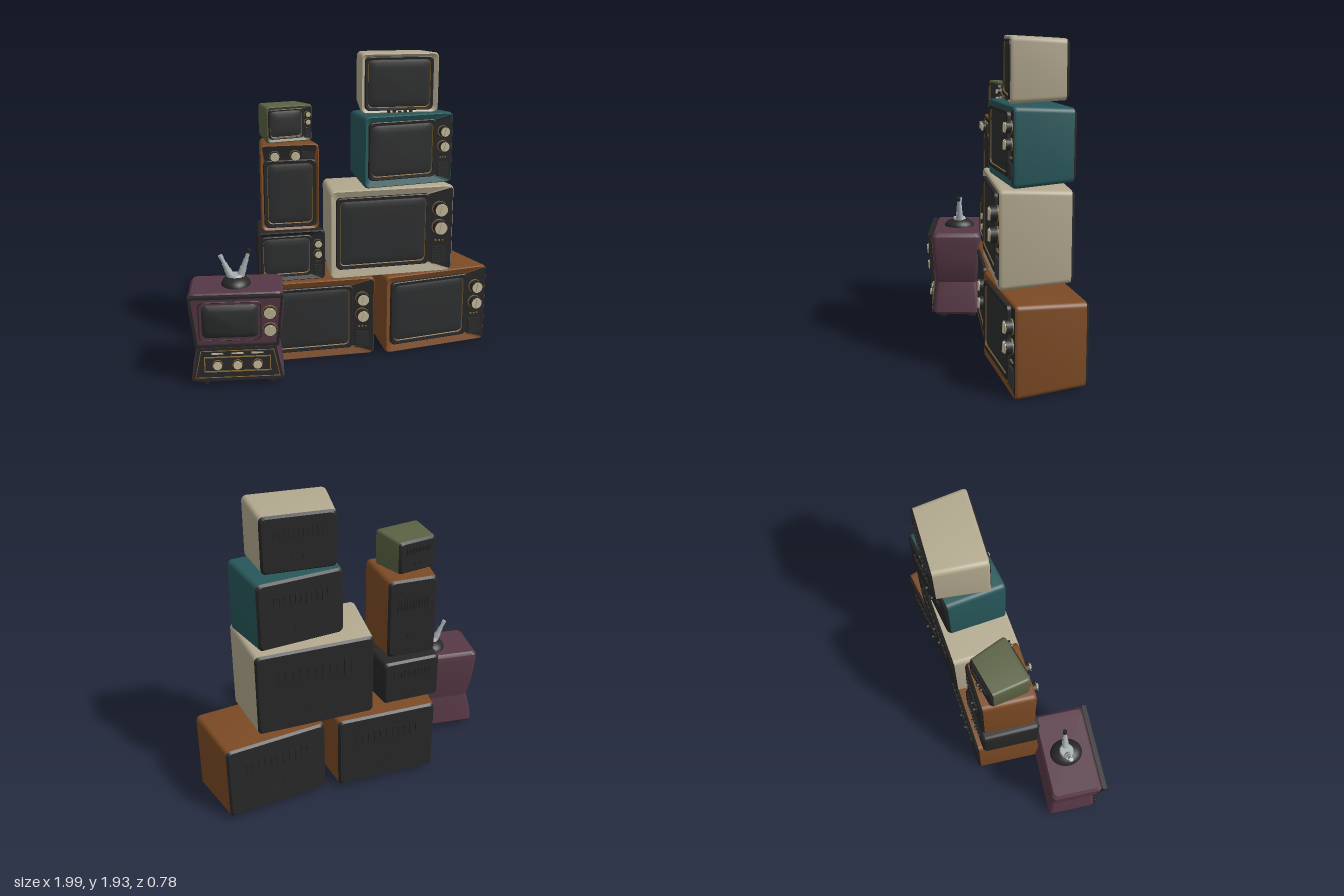
import * as THREE from 'three';
import { toCreasedNormals } from 'three/addons/utils/BufferGeometryUtils.js';

const mat = (name, color) => new THREE.MeshStandardMaterial({ name, color });
const M = {
  brown: mat('walnut brown', 0x7c4a24), beige: mat('warm beige', 0xb3a98f),
  teal: mat('deep teal', 0x27575a), olive: mat('olive green', 0x5b6243),
  plum: mat('plum', 0x573846), black: mat('black plastic', 0x272727),
  glass: mat('screen glass', 0x2d2e2f), gold: mat('aged gold', 0x8a6a36),
  metal: mat('antenna metal', 0xa9b1b4), ivory: mat('ivory knob', 0xc2b698),
};

function add(parent, name, geometry, material, x = 0, y = 0, z = 0) {
  const m = new THREE.Mesh(geometry, material);
  m.name = name;
  m.position.set(x, y, z);
  parent.add(m);
  return m;
}
const box = (p, name, w, h, d, m, x, y, z) => add(p, name, new THREE.BoxGeometry(w, h, d), m, x, y, z);

// Rounded rectangle of 28 points, counterclockwise, starting at the lower right corner
const STEPS = 6, RING = 4 * (STEPS + 1);
function ring([w, h, r, z]) {
  const pts = [], corners = [[1, -1], [1, 1], [-1, 1], [-1, -1]];
  corners.forEach(([sx, sy], c) => {
    for (let k = 0; k <= STEPS; k++) {
      const a = (c - 1 + k / STEPS) * Math.PI / 2;
      pts.push([sx * (w / 2 - r) + r * Math.cos(a), sy * (h / 2 - r) + r * Math.sin(a), z]);
    }
  });
  return pts;
}

// Skin through sections [width, height, radius, z]; from/to pick part of the ring
function loft(sections, { front = false, back = false, from = 0, to = RING } = {}) {
  const rings = sections.map(ring), v = [];
  for (let s = 0; s + 1 < rings.length; s++) {
    for (let i = from; i < to; i++) {
      const a = rings[s], b = rings[s + 1], p = i % RING, q = (i + 1) % RING;
      v.push(...a[p], ...a[q], ...b[q], ...a[p], ...b[q], ...b[p]);
    }
  }
  const cap = (r, flip) => {
    for (let i = 1; i + 1 < RING; i++) v.push(...r[0], ...r[flip ? i + 1 : i], ...r[flip ? i : i + 1]);
  };
  if (back) cap(rings[0], true);
  if (front) cap(rings[rings.length - 1], false);
  const g = new THREE.BufferGeometry();
  g.setAttribute('position', new THREE.Float32BufferAttribute(v, 3));
  return toCreasedNormals(g, 0.6);
}

// Knob facing +z: gold collar, black barrel, ivory face and grip bar
function knob(parent, x, y, z, r, length) {
  const g = new THREE.Group();
  g.name = 'knob';
  g.position.set(x, y, z);
  const disc = (name, rad, len, m, zz) =>
    add(g, name, new THREE.CylinderGeometry(rad, rad, len, 20).rotateX(Math.PI / 2), m, 0, 0, zz);
  disc('knobCollar', r * 1.08, 0.01, M.gold, 0.012);
  disc('knobBarrel', r, length, M.black, length / 2);
  disc('knobFace', r * 0.9, 0.006, M.ivory, length + 0.001);
  box(g, 'knobGrip', r * 0.35, r * 1.5, 0.012, M.ivory, 0, 0, length + 0.006).rotation.z = -0.25;
  parent.add(g);
}

// Screen with black surround, gold trim and softly bulging glass
function screen(parent, x, y, w, h, t, bulge) {
  const g = new THREE.Group();
  g.name = 'screen';
  g.position.set(x, y, 0);
  const s = (d, z, r = 0.03) => [w - d, h - d, Math.min(r, h * 0.12), z];
  add(g, 'screenSurround', loft([s(0, -0.03), s(0, 0.005), s(0.008, 0.009), s(t, 0.007), s(t, -0.006)]), M.black);
  add(g, 'screenTrim', loft([s(t, 0.002), s(t + 0.008, -0.004)]), M.gold);
  add(g, 'screenGlass', loft([s(t + 0.008, -0.004), s(t + 0.04, bulge * 0.5), s(t + 0.1, bulge)], { front: true }), M.glass);
  parent.add(g);
}

function grille(parent, x, y, w, h) {
  box(parent, 'speakerPlate', w, h, 0.012, M.glass, x, y, -0.003);
  for (let i = 0; i < 7; i++) box(parent, 'speakerSlat', w, h * 0.07, 0.012, M.black, x, y + h * (i / 6 - 0.5) * 0.9, 0.003);
}

// Tapered television; origin at the bottom centre of its front
function television({ name, x, y, z, w, h, d, turn, color, panel }) {
  const tv = new THREE.Group();
  tv.name = name;
  tv.position.set(x, y, z);
  tv.rotation.y = turn;
  const c = new THREE.Group();
  c.name = 'cabinet';
  c.position.y = h / 2;
  tv.add(c);
  const r = Math.min(0.03, h * 0.08), bw = w - d * 0.17, bh = h - d * 0.1;
  add(c, 'shell', loft([[bw, bh, r, -d + 0.016], [w, h, r, -0.02], [w - 0.004, h - 0.004, r, -0.007], [w - 0.014, h - 0.014, r, 0]]), M[color]);
  add(c, 'backCover', loft([[bw - 0.025, bh - 0.025, r, -d], [bw, bh, r, -d + 0.016]], { back: true }), M.black);

  // Screen opening as fractions of the front: left, right, bottom, top
  const [l, rt, b, t] = { right: [0.048, 0.8, 0.108, 0.92], top: [0.055, 0.945, 0.045, 0.825], none: [0.05, 0.925, 0.055, 0.945] }[panel];
  const sw = (rt - l) * w, sh = (t - b) * h, sx = ((l + rt) / 2 - 0.5) * w, sy = ((b + t) / 2 - 0.5) * h;

  // Mitred bezel, one strip for each side
  [['right', 3], ['top', 10], ['left', 17], ['bottom', 24]].forEach(([side, from]) => {
    const g = loft([[w - 0.014, h - 0.014, r, 0], [sw - 0.01, sh - 0.01, 0.02, -0.015]], { from, to: from + 7 });
    const p = g.attributes.position;
    for (let i = 0; i < p.count; i++) if (p.getZ(i) < -0.01) p.setXY(i, p.getX(i) + sx, p.getY(i) + sy);
    g.computeVertexNormals();
    add(c, side + 'Bezel', g, side === panel ? M.black : M[color]);
  });
  screen(c, sx, sy, sw, sh, Math.min(0.045, h * 0.09), 0.003);

  // Controls
  if (panel === 'right') {
    for (const v of [0.74, 0.53]) knob(c, 0.385 * w, (v - 0.5) * h, -0.015, 0.056 * w, 0.02 + 0.045 * w);
    grille(c, 0.39 * w, -0.3 * h, 0.12 * w, 0.2 * h);
    for (const u of [0.36, 0.39, 0.42]) box(c, 'button', 0.012 * w, 0.012 * w, 0.02, M.gold, u * w, -0.13 * h, -0.008);
  } else if (panel === 'top') {
    for (const u of [-0.255, 0.09]) knob(c, u * w, 0.375 * h, -0.015, 0.03, 0.04);
    grille(c, 0.31 * w, 0.38 * h, 0.08, 0.04);
  } else {
    for (let i = 0; i < 5; i++) box(c, 'button', 0.02, 0.01, 0.02, M.black, (i - 2) * 0.035, -h / 2 + 0.012, 0);
  }

  // Rear vents and terminals
  for (let i = 0; i < 11; i++) {
    const vh = bh * (i % 3 === 1 ? 0.2 : 0.15);
    box(c, 'ventRib', bw * 0.022, vh, 0.02, M.black, (i / 10 - 0.5) * bw * 0.62, bh * 0.2, -d);
  }
  for (const s of [-1, 1]) {
    add(c, 'terminal', new THREE.CylinderGeometry(0.011, 0.011, 0.02, 12).rotateX(Math.PI / 2), M.black, s * bw * 0.07, -bh * 0.22, -d - 0.004);
  }
  return tv;
}

// Trapezoid plate, optionally with a hole inset by rim
function trapezoid(wb, wt, h, rim, depth) {
  const path = (P, k) => {
    const p = new P(), y = h / 2 - k;
    p.moveTo(-wb / 2 + k, -y);
    p.lineTo(wb / 2 - k, -y);
    p.lineTo(wt / 2 - k, y);
    p.lineTo(-wt / 2 + k, y);
    p.closePath();
    return p;
  };
  const s = path(THREE.Shape, 0);
  if (rim) s.holes.push(path(THREE.Path, rim));
  return new THREE.ExtrudeGeometry(s, { depth, bevelEnabled: false });
}

// Two-tier plum set with waist, rabbit-ear antenna and feet
function antennaSet() {
  const tv = new THREE.Group();
  tv.name = 'antennaTelevision';
  tv.position.set(-0.695, 0, 0.157);
  tv.rotation.y = -0.17;
  const upright = (s) => loft(s, { front: true, back: true }).rotateX(-Math.PI / 2);
  add(tv, 'upperCabinet', upright([[0.47, 0.28, 0.025, 0.245], [0.5, 0.29, 0.03, 0.27], [0.545, 0.315, 0.03, 0.4],
    [0.57, 0.33, 0.03, 0.53], [0.565, 0.33, 0.03, 0.575], [0.53, 0.3, 0.03, 0.597]]), M.plum);
  add(tv, 'base', upright([[0.54, 0.3, 0.03, 0.03], [0.56, 0.32, 0.03, 0.045], [0.53, 0.305, 0.03, 0.15], [0.48, 0.28, 0.03, 0.25]]), M.plum);
  for (const sx of [-1, 1]) for (const sz of [-1, 1]) {
    add(tv, 'foot', new THREE.CylinderGeometry(0.035, 0.028, 0.04, 16), M.black, sx * 0.2, 0.02, sz * 0.1);
  }

  // Upper face
  const face = new THREE.Group();
  face.name = 'upperFace';
  face.position.set(0, 0.425, 0.16);
  face.rotation.x = 0.06;
  tv.add(face);
  add(face, 'faceRim', trapezoid(0.5, 0.565, 0.33, 0.016, 0.02), M.black);
  add(face, 'facePlate', trapezoid(0.48, 0.54, 0.31, 0, 0.006), M.plum);
  screen(face, -0.038, 0, 0.375, 0.255, 0.014, 0.026);
  for (const y of [0.055, -0.058]) knob(face, 0.2, y, 0, 0.04, 0.028);
  box(face, 'topBar', 0.565, 0.016, 0.03, M.black, 0, 0.158, 0.008);

  // Control face of the base
  const ctl = new THREE.Group();
  ctl.name = 'controlFace';
  ctl.position.set(0, 0.145, 0.151);
  ctl.rotation.x = -0.1;
  tv.add(ctl);
  add(ctl, 'controlPlate', trapezoid(0.55, 0.47, 0.2, 0, 0.01), M.black);
  add(ctl, 'controlTrim', trapezoid(0.51, 0.44, 0.17, 0.004, 0.013), M.gold);
  add(ctl, 'dialFrame', trapezoid(0.4, 0.4, 0.095, 0.006, 0.018), M.gold);
  for (const x of [-0.12, 0, 0.12]) {
    knob(ctl, x, -0.003, 0.006, 0.029, 0.025);
    box(ctl, 'indicator', 0.07, 0.01, 0.008, M.ivory, x, 0.066, 0.01);
  }

  // Rabbit-ear antenna
  add(tv, 'antennaDome', new THREE.SphereGeometry(1, 24, 10, 0, Math.PI * 2, 0, Math.PI / 2).scale(0.09, 0.06, 0.105), M.black, 0, 0.592, -0.01);
  add(tv, 'antennaHub', new THREE.CylinderGeometry(0.04, 0.05, 0.02, 20), M.metal, 0, 0.648, -0.01);
  for (const [side, lean, len] of [[-1, 0.42, 0.14], [1, 0.33, 0.17]]) {
    const rod = new THREE.Group();
    rod.name = side < 0 ? 'rightAntenna' : 'leftAntenna';
    rod.position.set(side * 0.028, 0.64, -0.01);
    rod.rotation.z = -side * lean;
    tv.add(rod);
    [0.024, 0.018, 0.013].forEach((r, i) =>
      add(rod, 'antennaSection', new THREE.CylinderGeometry(r * 0.85, r, len * 0.4, 14), M.metal, 0, len * (0.18 + i * 0.29), 0));
    add(rod, 'antennaTip', new THREE.CylinderGeometry(0.014, 0.014, 0.025, 12), side > 0 ? M.black : M.metal, 0, len, 0);
  }
  return tv;
}

export function createModel() {
  const model = new THREE.Group();
  model.name = 'televisionStack';
  [
    { name: 'lowerLeftSet', x: 0.63, y: 0, z: 0.09, w: 0.72, h: 0.53, d: 0.43, turn: 0.085, color: 'brown', panel: 'right' },
    { name: 'lowerRightSet', x: -0.155, y: 0, z: 0.07, w: 0.72, h: 0.53, d: 0.43, turn: -0.06, color: 'brown', panel: 'right' },
    { name: 'largeBeigeSet', x: 0.318, y: 0.532, z: 0.085, w: 0.805, h: 0.575, d: 0.43, turn: -0.04, color: 'beige', panel: 'right' },
    { name: 'tealSet', x: 0.433, y: 1.108, z: 0.045, w: 0.595, h: 0.452, d: 0.37, turn: 0.07, color: 'teal', panel: 'right' },
    { name: 'topBeigeSet', x: 0.38, y: 1.563, z: 0, w: 0.49, h: 0.37, d: 0.33, turn: -0.1, color: 'beige', panel: 'none' },
    { name: 'blackSet', x: -0.322, y: 0.532, z: 0.03, w: 0.428, h: 0.325, d: 0.36, turn: -0.05, color: 'black', panel: 'right' },
    { name: 'portraitSet', x: -0.322, y: 0.86, z: 0.01, w: 0.365, h: 0.545, d: 0.33, turn: -0.07, color: 'brown', panel: 'top' },
    { name: 'smallOliveSet', x: -0.308, y: 1.408, z: -0.045, w: 0.295, h: 0.225, d: 0.24, turn: 0.13, color: 'olive', panel: 'right' },
  ].forEach((spec) => model.add(television(spec)));
  model.add(antennaSet());
  return model;
}
